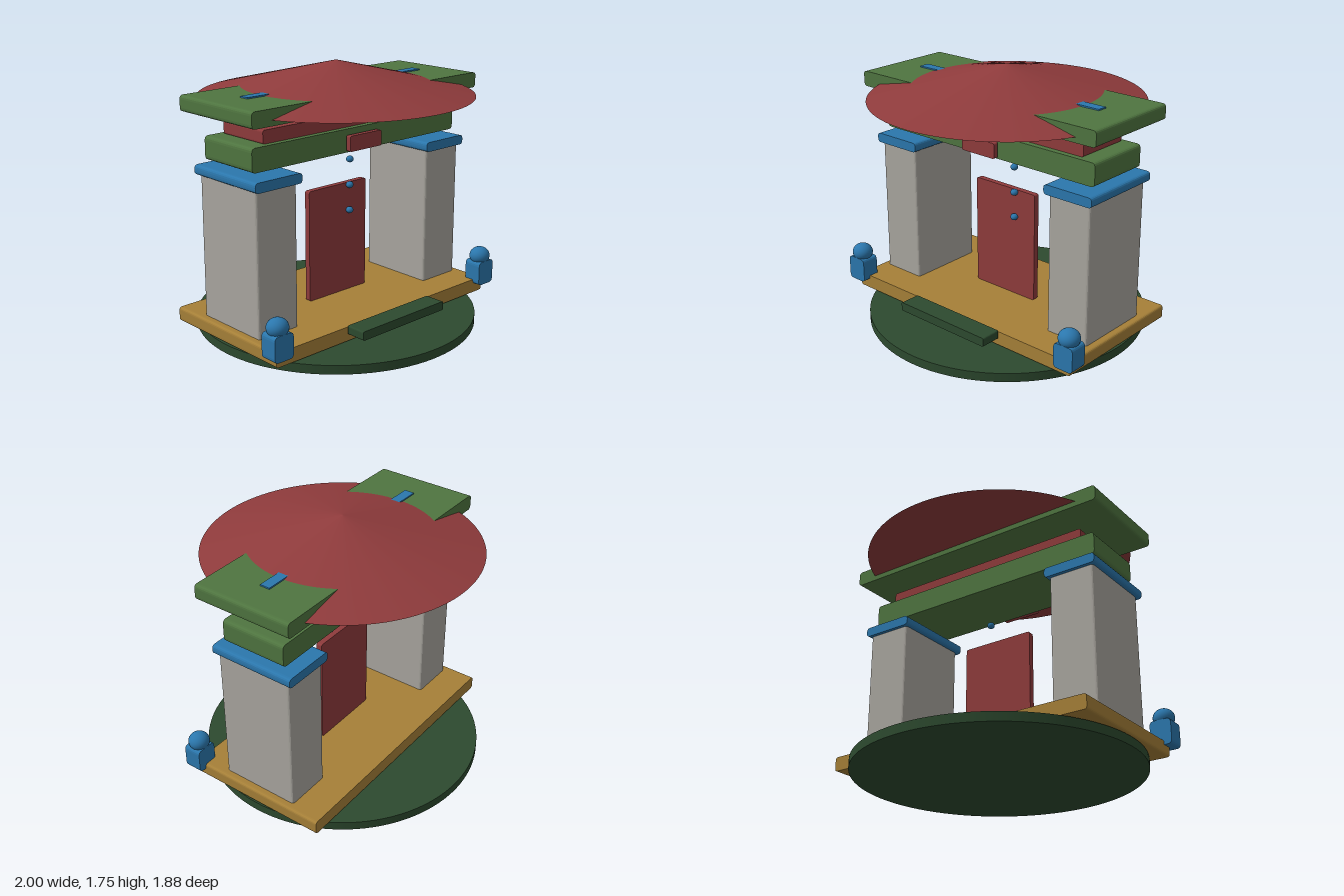
import * as THREE from 'three';

const paint = (name, color) => {
  const m = new THREE.MeshStandardMaterial({ color });
  m.name = name;
  return m;
};

export function createModel() {
  const stone = paint('stone', 0xa9a69f);
  const red = paint('red', 0x8f3b3c);
  const green = paint('green', 0x4f7540);
  const darkGreen = paint('darkGreen', 0x2d4a2f);
  const ochre = paint('ochre', 0xa68038);
  const blue = paint('blue', 0x2b77ad);

  const model = new THREE.Group();
  model.name = 'gateway';

  const add = (name, geometry, material, x, y, z, parent = model) => {
    const mesh = new THREE.Mesh(geometry, material);
    mesh.name = name;
    mesh.position.set(x, y, z);
    parent.add(mesh);
    return mesh;
  };

  // Block with rounded corners in its front outline, square along its depth
  const slab = (w, h, d, r) => {
    const a = w / 2, b = h / 2, s = new THREE.Shape();
    s.moveTo(-a + r, -b);
    s.lineTo(a - r, -b);
    s.quadraticCurveTo(a, -b, a, -b + r);
    s.lineTo(a, b - r);
    s.quadraticCurveTo(a, b, a - r, b);
    s.lineTo(-a + r, b);
    s.quadraticCurveTo(-a, b, -a, b - r);
    s.lineTo(-a, -b + r);
    s.quadraticCurveTo(-a, -b, -a + r, -b);
    return new THREE.ExtrudeGeometry(s, { depth: d, bevelEnabled: false, curveSegments: 4 })
      .translate(0, 0, -d / 2);
  };

  // Ground disc, platform and front step
  add('groundDisc', new THREE.CylinderGeometry(0.942, 0.942, 0.06, 96), darkGreen, 0, 0.03, 0);
  add('platform', slab(1.89, 0.095, 0.99, 0.02), ochre, 0, 0.1175, 0);
  add('frontStep', slab(0.74, 0.06, 0.14, 0.012), darkGreen, 0, 0.15, 0.575);

  // Door with a column of studs
  add('door', slab(0.51, 0.76, 0.04, 0.015), red, 0, 0.545, 0);
  for (const y of [0.735, 0.91, 1.087]) {
    add('doorStud', new THREE.SphereGeometry(0.025, 20, 14), blue, 0.093, y, 0.035).scale.y = 0.9;
  }

  // Crossbeams and name plate
  add('lowerBeam', slab(1.77, 0.152, 0.46, 0.028), green, 0, 1.279, 0);
  add('middleBeam', slab(1.535, 0.085, 0.38, 0.014), red, 0, 1.3975, 0);
  add('upperBeam', slab(1.95, 0.103, 0.7, 0.025), green, 0, 1.5515, 0);
  add('plaque', slab(0.275, 0.102, 0.036, 0.012), red, 0, 1.268, 0.263);

  // Conical roof
  add('roof', new THREE.ConeGeometry(0.9, 0.22, 96), red, 0, 1.645, 0);

  // Mirrored pillars, caps, ridge strips and guardians
  for (const side of [-1, 1]) {
    const pillar = add('pillar', slab(0.315, 0.55, 0.94, 0.02), stone, side * 0.7375, 0.633, 0);
    pillar.rotation.x = Math.PI / 2;
    add('pillarCap', slab(0.365, 0.065, 0.6, 0.026), blue, side * 0.7375, 1.1325, 0);
    add('ridgeStrip', new THREE.BoxGeometry(0.2, 0.012, 0.07), blue, side * 0.655, 1.606, 0);

    const guardian = new THREE.Group();
    guardian.name = 'guardian';
    guardian.position.set(side * 0.926, 0, 0.488);
    model.add(guardian);
    add('guardianBody', slab(0.146, 0.168, 0.122, 0.03), blue, 0, 0.215, 0, guardian);
    add('guardianHead', new THREE.SphereGeometry(0.071, 28, 20), blue, 0, 0.328, 0, guardian)
      .scale.set(1, 0.87, 0.98);
  }
  return model;
}
